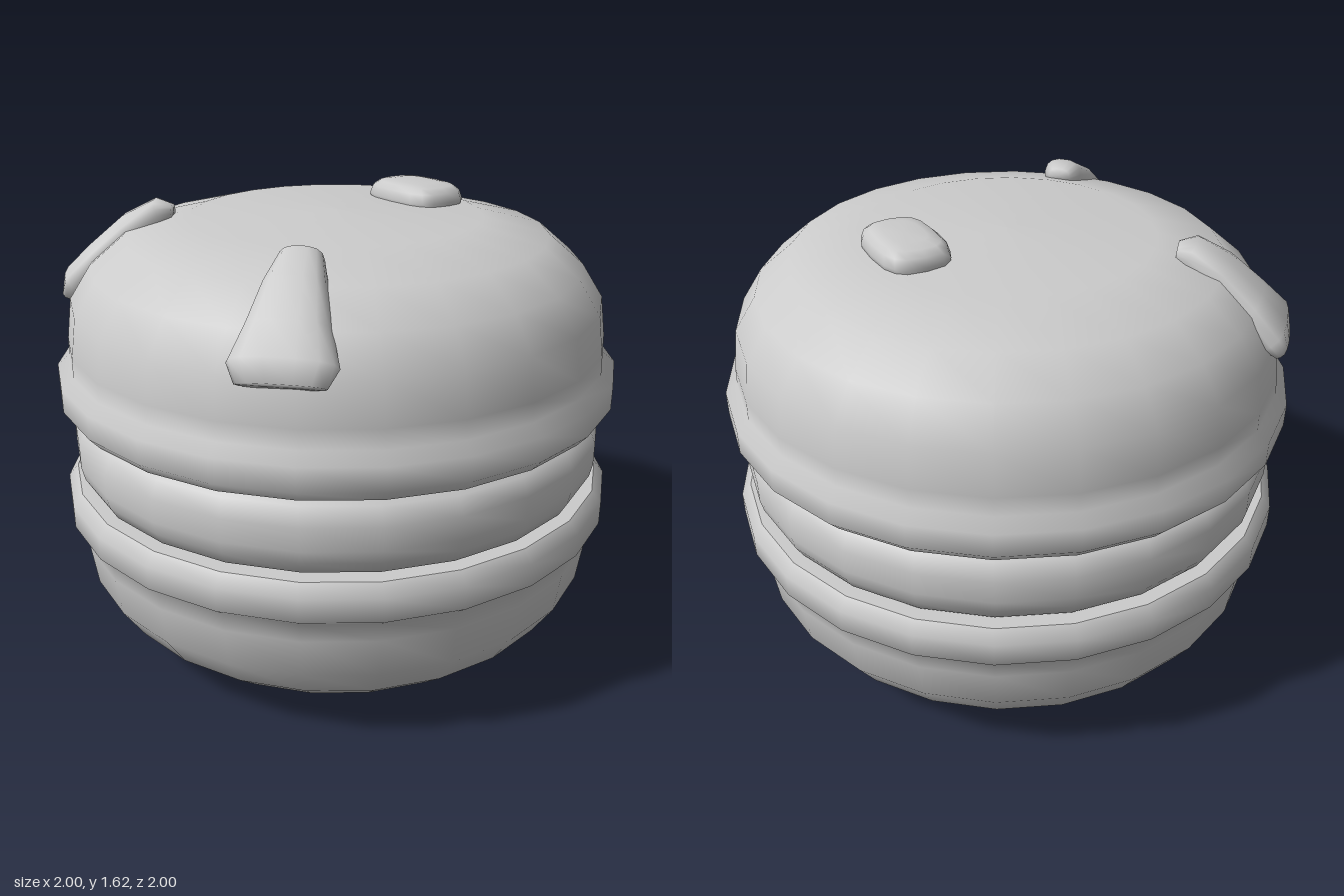
import * as THREE from 'three';

const SIDES = 24;
const material = new THREE.MeshStandardMaterial({ color: 0xcccccc });

function add(parent, name, geometry) {
  const mesh = new THREE.Mesh(geometry, material);
  mesh.name = name;
  parent.add(mesh);
  return mesh;
}

function lathe(profile) {
  return new THREE.LatheGeometry(profile.map(([r, y]) => new THREE.Vector2(r, y)), SIDES);
}

// Skin over a stack of rings, each given as { center, u, v } half-axes (u x v points along the stack)
function loft(rings, count, power) {
  const pos = [], idx = [];
  const soft = (k) => Math.sign(k) * Math.abs(k) ** power;
  for (const { center, u, v } of rings) {
    for (let j = 0; j < count; j++) {
      const a = (j / count) * Math.PI * 2;
      const p = center.clone().addScaledVector(u, soft(Math.cos(a))).addScaledVector(v, soft(Math.sin(a)));
      pos.push(p.x, p.y, p.z);
    }
  }
  const last = rings.length - 1;
  for (let i = 0; i < last; i++) {
    for (let j = 0; j < count; j++) {
      const a = i * count + j, b = i * count + (j + 1) % count;
      idx.push(a, b, a + count, b, b + count, a + count);
    }
  }
  // End caps
  const start = rings.length * count;
  pos.push(...rings[0].center.toArray(), ...rings[last].center.toArray());
  for (let j = 0; j < count; j++) {
    const k = (j + 1) % count;
    idx.push(start, k, j, start + 1, last * count + j, last * count + k);
  }
  const g = new THREE.BufferGeometry();
  g.setAttribute('position', new THREE.Float32BufferAttribute(pos, 3));
  g.setIndex(idx);
  g.computeVertexNormals();
  return g;
}

// Tapered ear hugging the dome, running outwards along the given heading
function earGeometry(heading) {
  const out = new THREE.Vector3(Math.sin(heading), 0, Math.cos(heading));
  // radius, height, half width, half thickness
  const stations = [
    [0.578, 1.548, 0.04, 0.025], [0.62, 1.545, 0.07, 0.052], [0.72, 1.485, 0.10, 0.062],
    [0.83, 1.395, 0.13, 0.06], [0.915, 1.315, 0.165, 0.06], [0.95, 1.265, 0.135, 0.03],
  ];
  const rings = stations.map(([r, y, w, t], i) => {
    const a = stations[Math.max(i - 1, 0)], b = stations[Math.min(i + 1, stations.length - 1)];
    const dir = new THREE.Vector2(b[0] - a[0], b[1] - a[1]).normalize();
    const along = out.clone().multiplyScalar(dir.x).setY(dir.y);
    const normal = out.clone().multiplyScalar(-dir.y).setY(dir.x);
    const side = normal.clone().cross(along);
    return {
      center: out.clone().multiplyScalar(r).setY(y),
      u: side.multiplyScalar(w),
      v: normal.multiplyScalar(t),
    };
  });
  return loft(rings, 14, 0.8);
}

export function createModel() {
  const model = new THREE.Group();
  model.name = 'macaron';

  // Domed shells with a raised foot, the lower one mirrored from the upper
  const height = 1.565;
  const upper = [
    [0.965, 0.92], [1, 0.96], [1, 1.042], [0.957, 1.075], [0.955, 1.14], [0.935, 1.28],
    [0.86, 1.395], [0.74, 1.495], [0.51, 1.553], [0, height],
  ];
  const lower = upper.map(([r, y]) => [r, height - y]).reverse();
  const upperShell = add(model, 'upperShell', lathe(upper));
  const lowerShell = add(model, 'lowerShell', lathe(lower));
  add(upperShell, 'upperShellUnderside', lathe([[0, 0.92], [0.965, 0.92]]));
  add(lowerShell, 'lowerShellTop', lathe([[0.965, height - 0.92], [0, height - 0.92]]));

  // Filling
  add(model, 'filling', lathe([
    [0.86, 0.64], [0.925, 0.655], [0.95, 0.70], [0.96, 0.745], [0.96, 0.825], [0.935, 0.885], [0.86, 0.925],
  ]));

  // Ears
  add(model, 'leftEar', earGeometry(0.735));
  add(model, 'rightEar', earGeometry(-0.735));

  // Soft oblong tail button on the top
  const levels = [[1.53, 0.95], [1.568, 1], [1.598, 0.93], [1.615, 0.78], [1.622, 0.5]];
  add(model, 'tail', loft(levels.map(([y, s]) => ({
    center: new THREE.Vector3(0, y, -0.372),
    u: new THREE.Vector3(0, 0, 0.122 * s),
    v: new THREE.Vector3(0.18 * s, 0, 0),
  })), 16, 0.65));

  return model;
}
